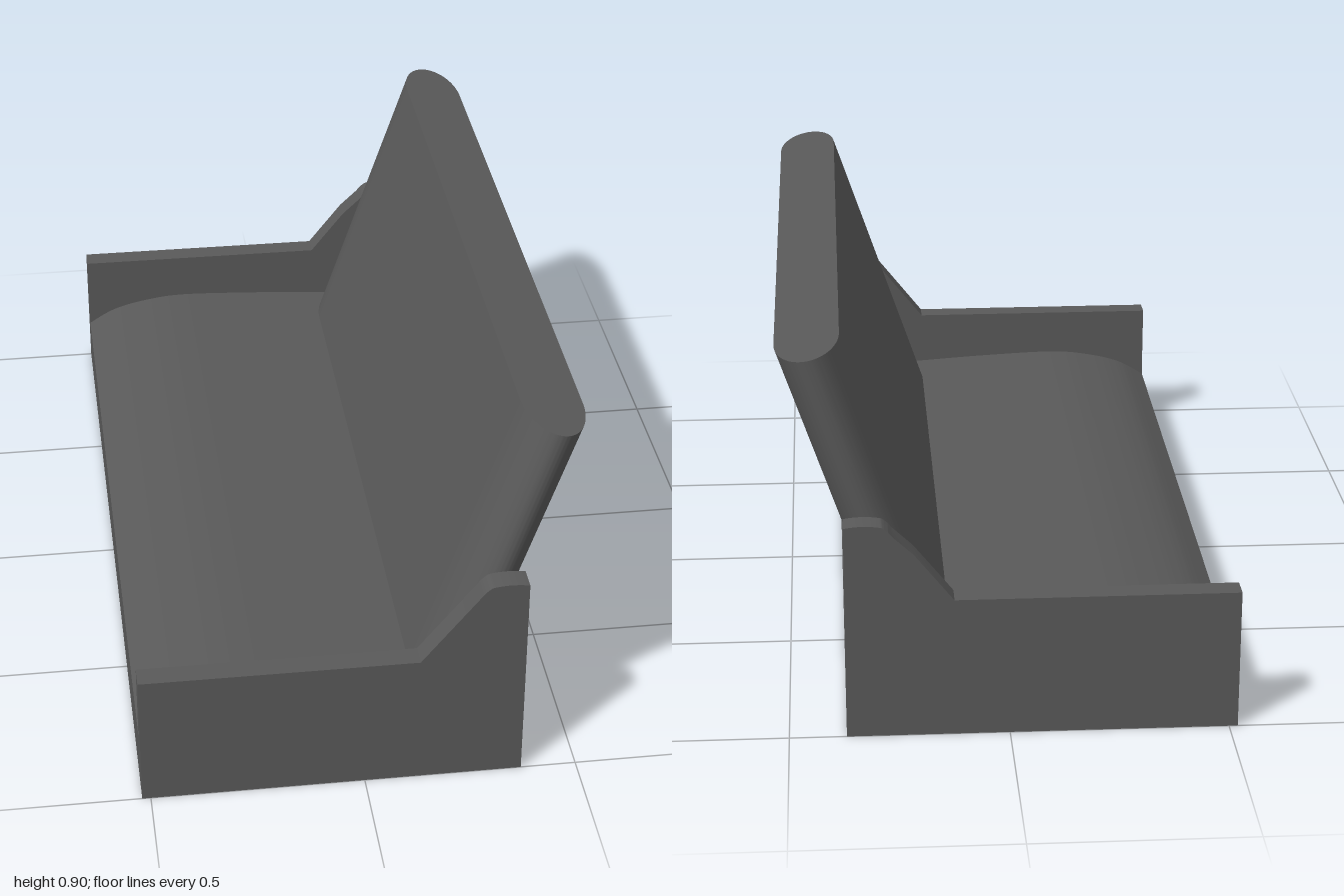
import * as THREE from 'three';
import { toCreasedNormals } from 'three/addons/utils/BufferGeometryUtils.js';

const upholstery = new THREE.MeshStandardMaterial({ color: 0x595959 });
upholstery.name = 'dark grey upholstery';

// Extrudes an x/y outline along z from z0 to z1
function slab(name, shape, z0, z1) {
  const geo = new THREE.ExtrudeGeometry(shape, { depth: z1 - z0, bevelEnabled: false, curveSegments: 16 });
  geo.translate(0, 0, z0);
  const mesh = new THREE.Mesh(toCreasedNormals(geo, 0.45), upholstery);
  mesh.name = name;
  return mesh;
}

// Side panel with a low armrest and a raised, rounded rear hump
function armShape(top) {
  const s = new THREE.Shape();
  s.moveTo(-0.52, 0);
  s.lineTo(0.37, 0);
  s.lineTo(0.37, top - 0.004);
  s.quadraticCurveTo(0.325, top + 0.004, 0.285, top - 0.004);
  s.quadraticCurveTo(0.272, top - 0.012, 0.262, top - 0.026);
  s.lineTo(0.215, 0.445);
  s.lineTo(0.125, 0.332);
  s.lineTo(-0.52, 0.333);
  s.closePath();
  return s;
}

// Seat block whose top rolls down at the front edge
function seatShape() {
  const s = new THREE.Shape();
  s.moveTo(-0.52, 0);
  s.lineTo(0.37, 0);
  s.lineTo(0.37, 0.18);
  s.lineTo(0.13, 0.193);
  s.splineThru([[-0.05, 0.205], [-0.25, 0.213], [-0.36, 0.202], [-0.45, 0.178], [-0.52, 0.138]]
    .map(([x, y]) => new THREE.Vector2(x, y)));
  s.closePath();
  return s;
}

// Leaning backrest: long slab with elliptical ends, sheared backwards, top cap tilted
function backrest() {
  const rx = 0.077, rz = 0.15, len = 0.945 - rz;
  const s = new THREE.Shape();
  s.moveTo(rx, -len);
  s.lineTo(rx, len);
  s.absellipse(0, len, rx, rz, 0, Math.PI, false);
  s.lineTo(-rx, -len);
  s.absellipse(0, -len, rx, rz, Math.PI, Math.PI * 2, false);
  const geo = new THREE.ExtrudeGeometry(s, { depth: 1, bevelEnabled: false, curveSegments: 24 });
  geo.rotateX(-Math.PI / 2);
  const p = geo.attributes.position;
  for (let i = 0; i < p.count; i++) {
    const x = p.getX(i);
    const y = p.getY(i) > 0.5 ? 0.884 - 0.16 * x : 0.14;
    p.setXYZ(i, 0.442 + x + (y - 0.884) * 0.342, y, p.getZ(i));
  }
  const mesh = new THREE.Mesh(toCreasedNormals(geo, 0.6), upholstery);
  mesh.name = 'backrest';
  return mesh;
}

export function createModel() {
  const sofa = new THREE.Group();
  sofa.name = 'sofa';
  sofa.add(
    slab('seat', seatShape(), -0.945, 0.945),
    slab('leftArm', armShape(0.53), 0.945, 1),
    slab('rightArm', armShape(0.515), -1, -0.945),
    backrest(),
  );
  return sofa;
}
